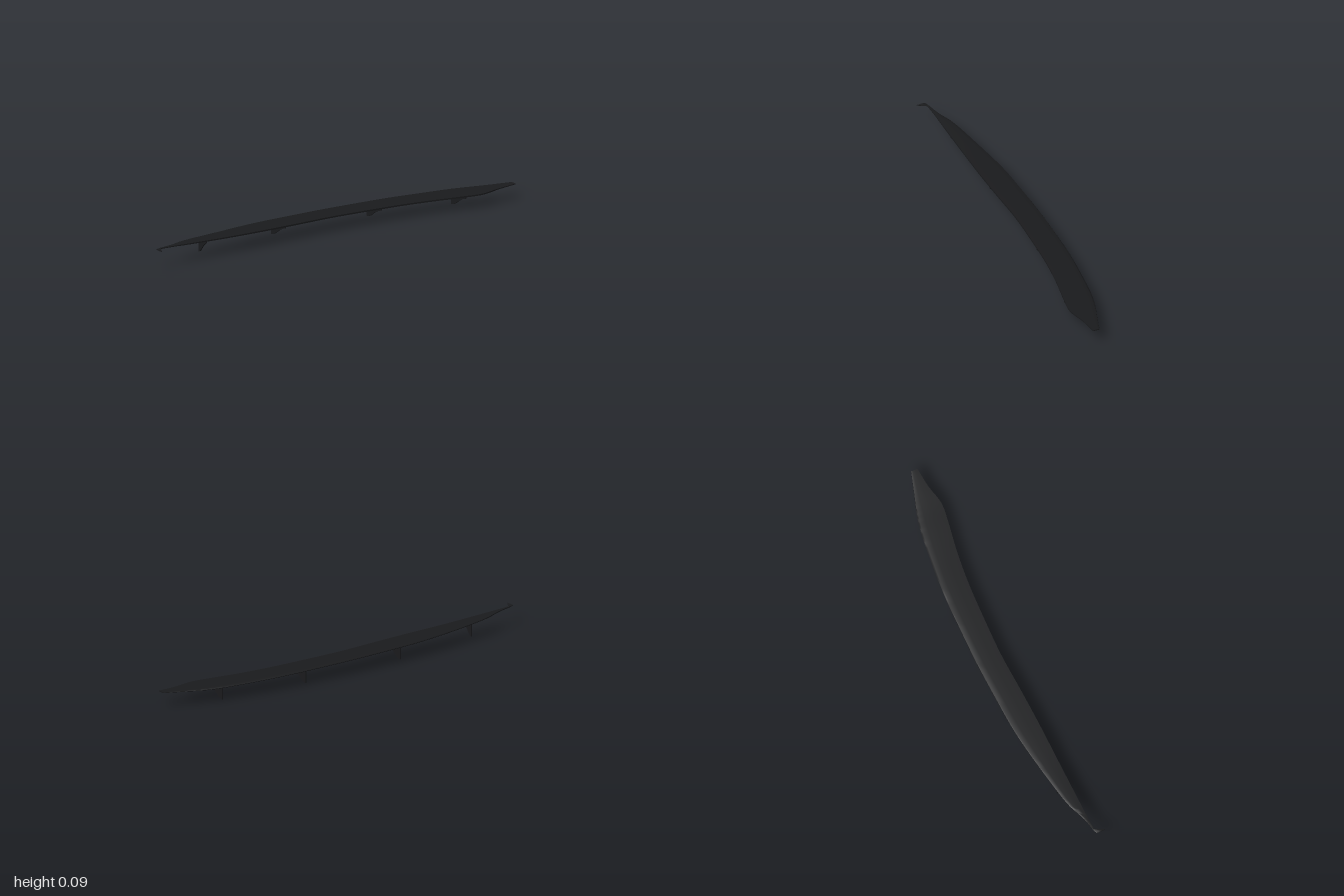
import * as THREE from 'three';
import { toCreasedNormals } from 'three/addons/utils/BufferGeometryUtils.js';

const material = new THREE.MeshStandardMaterial({ color: 0x1a1b1d, side: THREE.DoubleSide });

// Stations along the blade: x, back edge z, front edge z, height y, thickness
const stations = [
  [-0.975, 0.026, 0.034, 0.0915, 0.005],
  [-0.9, 0.008, 0.031, 0.089, 0.006],
  [-0.8, -0.027, 0.031, 0.085, 0.008],
  [-0.6, -0.062, 0.031, 0.079, 0.009],
  [-0.385, -0.09, 0.031, 0.076, 0.01],
  [-0.2, -0.098, 0.027, 0.074, 0.01],
  [0, -0.102, 0.021, 0.072, 0.01],
  [0.2, -0.098, 0.028, 0.07, 0.01],
  [0.385, -0.09, 0.039, 0.068, 0.01],
  [0.55, -0.073, 0.059, 0.066, 0.01],
  [0.7, -0.053, 0.086, 0.065, 0.01],
  [0.8, -0.03, 0.098, 0.065, 0.009],
  [0.9, 0.004, 0.079, 0.068, 0.007],
  [1, 0.037, 0.07, 0.072, 0.005],
];

// Cross-section loop: fraction from back to front, height in thicknesses
const section = [
  [0, 0], [0.015, 0.28], [0.06, 0.44], [0.25, 0.52], [0.6, 0.5], [1, 0.36],
  [1, -0.36], [0.6, -0.46], [0.25, -0.48], [0.06, -0.42], [0.015, -0.28],
];

function spline(pick) {
  return new THREE.CatmullRomCurve3(stations.map(pick), false, 'catmullrom', 0.5);
}

function createBlade() {
  const edges = spline(([x, back, front]) => new THREE.Vector3(x, back, front));
  const heights = spline(([x, , , y, t]) => new THREE.Vector3(x, y, t));
  const rings = [[-1, 0.034, 0.078, 0.092, 0.005]]; // turned-out tip
  const steps = 78;
  for (let i = 0; i <= steps; i++) {
    const e = edges.getPoint(i / steps);
    const h = heights.getPoint(i / steps);
    rings.push([e.x, e.y, e.z, h.y, h.z]);
  }
  const n = section.length;
  const positions = [];
  const index = [];
  for (const [x, back, front, y, t] of rings) {
    for (const [u, v] of section) positions.push(x, y + v * t, back + u * (front - back));
  }
  for (let i = 0; i < rings.length - 1; i++) {
    for (let j = 0; j < n; j++) {
      const a = i * n + j, b = i * n + (j + 1) % n;
      index.push(a, b, a + n, b, b + n, a + n);
    }
  }
  // End caps
  const last = (rings.length - 1) * n;
  for (let j = 1; j < n - 1; j++) {
    index.push(0, j + 1, j, last, last + j, last + j + 1);
  }
  const geometry = new THREE.BufferGeometry();
  geometry.setAttribute('position', new THREE.Float32BufferAttribute(positions, 3));
  geometry.setIndex(index);
  return toCreasedNormals(geometry, 0.7);
}

// Thin fin: upright back edge, swept curve rising to the front
function createFin(back, front, top, bottom) {
  const length = front - back, h = top - bottom;
  const shape = new THREE.Shape();
  shape.moveTo(0, h);
  shape.lineTo(0, 0);
  shape.bezierCurveTo(length * 0.32, 0, length * 0.45, h * 0.6, length, h * 0.86);
  shape.lineTo(length, h);
  shape.closePath();
  const geometry = new THREE.ExtrudeGeometry(shape, {
    depth: 0.006, bevelEnabled: false, curveSegments: 16,
  });
  geometry.translate(0, 0, -0.003);
  geometry.rotateY(-Math.PI / 2);
  geometry.translate(0, bottom, back);
  return geometry;
}

export function createModel() {
  const model = new THREE.Group();
  const blade = new THREE.Mesh(createBlade(), material);
  blade.name = 'blade';
  model.add(blade);

  // Fins: x, back z, front z, top y, bottom y
  const fins = [
    [-0.715, -0.034, 0.03, 0.081, 0.016],
    [-0.27, -0.086, 0.029, 0.074, 0.011],
    [0.27, -0.086, 0.031, 0.068, 0.005],
    [0.71, -0.033, 0.087, 0.064, 0],
  ];
  fins.forEach(([x, ...size], i) => {
    const fin = new THREE.Mesh(createFin(...size), material);
    fin.name = `fin${i + 1}`;
    fin.position.x = x;
    model.add(fin);
  });
  return model;
}
